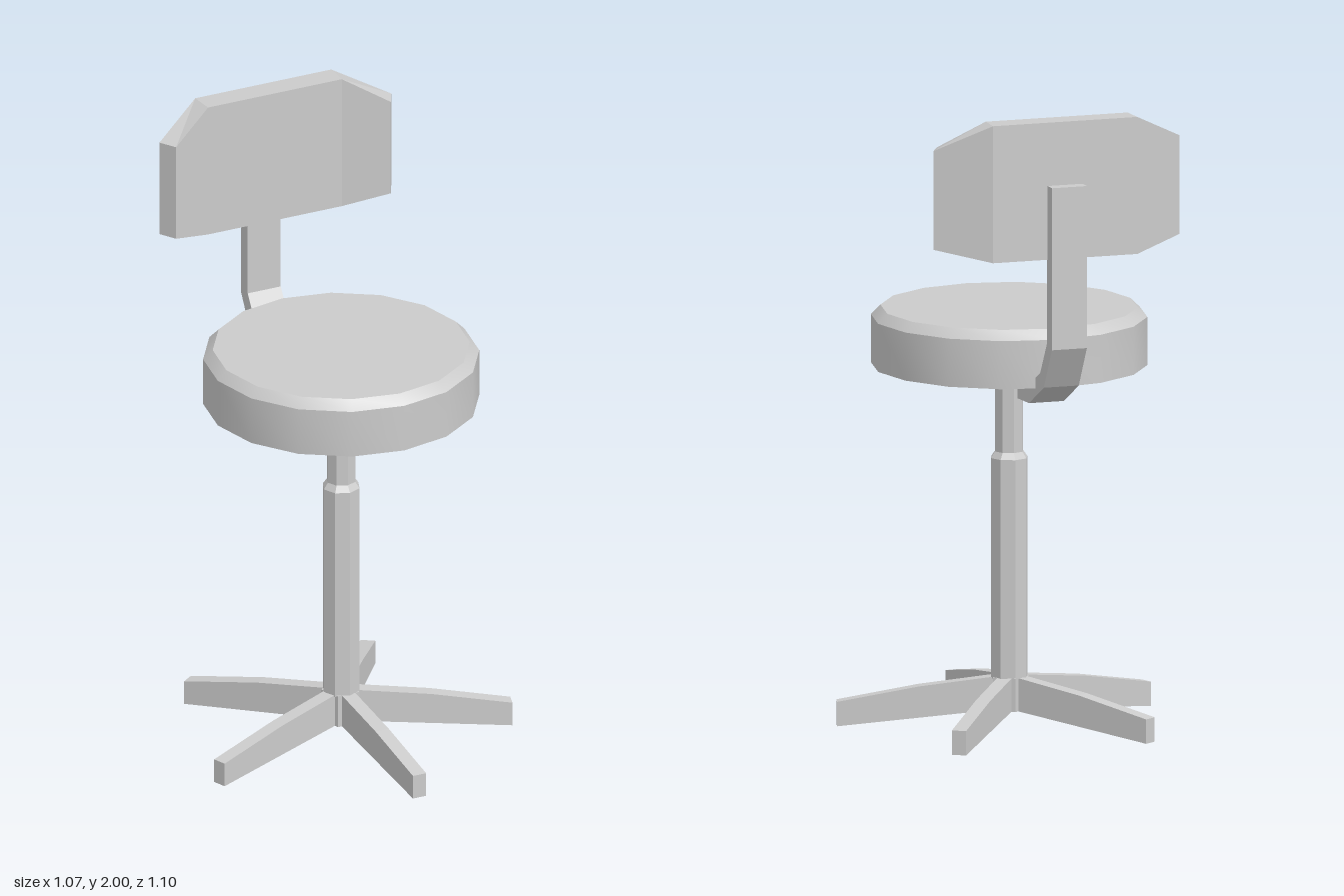
import * as THREE from 'three';
import { toCreasedNormals } from 'three/addons/utils/BufferGeometryUtils.js';

const flat = new THREE.MeshStandardMaterial({ color: 0xcccccc, flatShading: true });
const smooth = new THREE.MeshStandardMaterial({ color: 0xcccccc });

function part(name, geometry, material = flat) {
  const mesh = new THREE.Mesh(geometry, material);
  mesh.name = name;
  return mesh;
}

const lathe = (points, sides) =>
  new THREE.LatheGeometry(points.map(([r, y]) => new THREE.Vector2(r, y)), sides);

// Side profile given as [forward, height], extruded to a width centred on x = 0
function profileBar(points, width) {
  const shape = new THREE.Shape(points.map(([z, y]) => new THREE.Vector2(z, y)));
  return new THREE.ExtrudeGeometry(shape, { depth: width, bevelEnabled: false })
    .translate(0, 0, -width / 2)
    .rotateY(-Math.PI / 2);
}

// Solid through four-cornered cross-sections, listed from -x to +x
function loft(sections) {
  const positions = [];
  const quad = (a, b, c, d) => positions.push(...a, ...b, ...c, ...a, ...c, ...d);
  for (let i = 0; i < sections.length - 1; i++) {
    const p = sections[i], q = sections[i + 1];
    for (let j = 0; j < 4; j++) {
      const k = (j + 1) % 4;
      quad(p[j], q[j], q[k], p[k]);
    }
  }
  quad(...sections[0]);
  quad(...[...sections[sections.length - 1]].reverse());
  const geometry = new THREE.BufferGeometry();
  geometry.setAttribute('position', new THREE.Float32BufferAttribute(positions, 3));
  geometry.computeVertexNormals();
  return geometry;
}

export function createModel() {
  const model = new THREE.Group();
  model.name = 'swivelChair';

  // The chair is built facing +z, then turned
  const chair = new THREE.Group();
  chair.name = 'chair';
  chair.rotation.y = Math.PI / 3;
  chair.position.set(0.061, 0, 0.024);
  model.add(chair);

  // Five-legged foot
  const base = new THREE.Group();
  base.name = 'base';
  const hub = part('hub', new THREE.CylinderGeometry(0.063, 0.063, 0.105, 5));
  hub.position.y = 0.1025;
  hub.rotation.y = Math.PI / 5;
  base.add(hub);
  const legShape = profileBar([
    [0.05, 0.05], [0.535, 0], [0.535, 0.077], [0.28, 0.125], [0.05, 0.155],
  ], 0.046);
  for (let i = 0; i < 5; i++) {
    const leg = part('leg', legShape);
    leg.rotation.y = (i * Math.PI * 2) / 5;
    base.add(leg);
  }
  chair.add(base);

  // Stepped gas-lift column
  chair.add(part('column', lathe([
    [0, 0.15], [0.06, 0.15], [0.06, 0.845], [0.046, 0.865], [0.046, 1.145],
  ], 8)));

  // Round cushion with a chamfered top edge
  chair.add(part('seat', toCreasedNormals(lathe([
    [0, 1.14], [0.43, 1.14], [0.43, 1.292], [0.4, 1.322], [0, 1.322],
  ], 16), Math.PI / 6), smooth));

  // Bent bracket from under the seat up behind the backrest
  chair.add(part('backSupport', profileBar([
    [-0.245, 1.078], [-0.355, 1.082], [-0.495, 1.156], [-0.572, 1.288], [-0.572, 1.8],
    [-0.525, 1.8], [-0.525, 1.3], [-0.46, 1.195], [-0.35, 1.14], [-0.245, 1.14],
  ], 0.115)));

  // Backrest with forward-angled, tapered wings
  const section = (outerX, outerZ, innerX, innerZ, low, high) => [
    [outerX, low, outerZ], [innerX, low, innerZ],
    [innerX, high, innerZ], [outerX, high, outerZ],
  ];
  const wing = (side) => section(side * 0.404, -0.449, side * 0.374, -0.394, 1.605, 1.917);
  const middle = (side) => section(side * 0.237, -0.532, side * 0.233, -0.452, 1.567, 2);
  chair.add(part('backrest', loft([wing(-1), middle(-1), middle(1), wing(1)])));

  return model;
}
